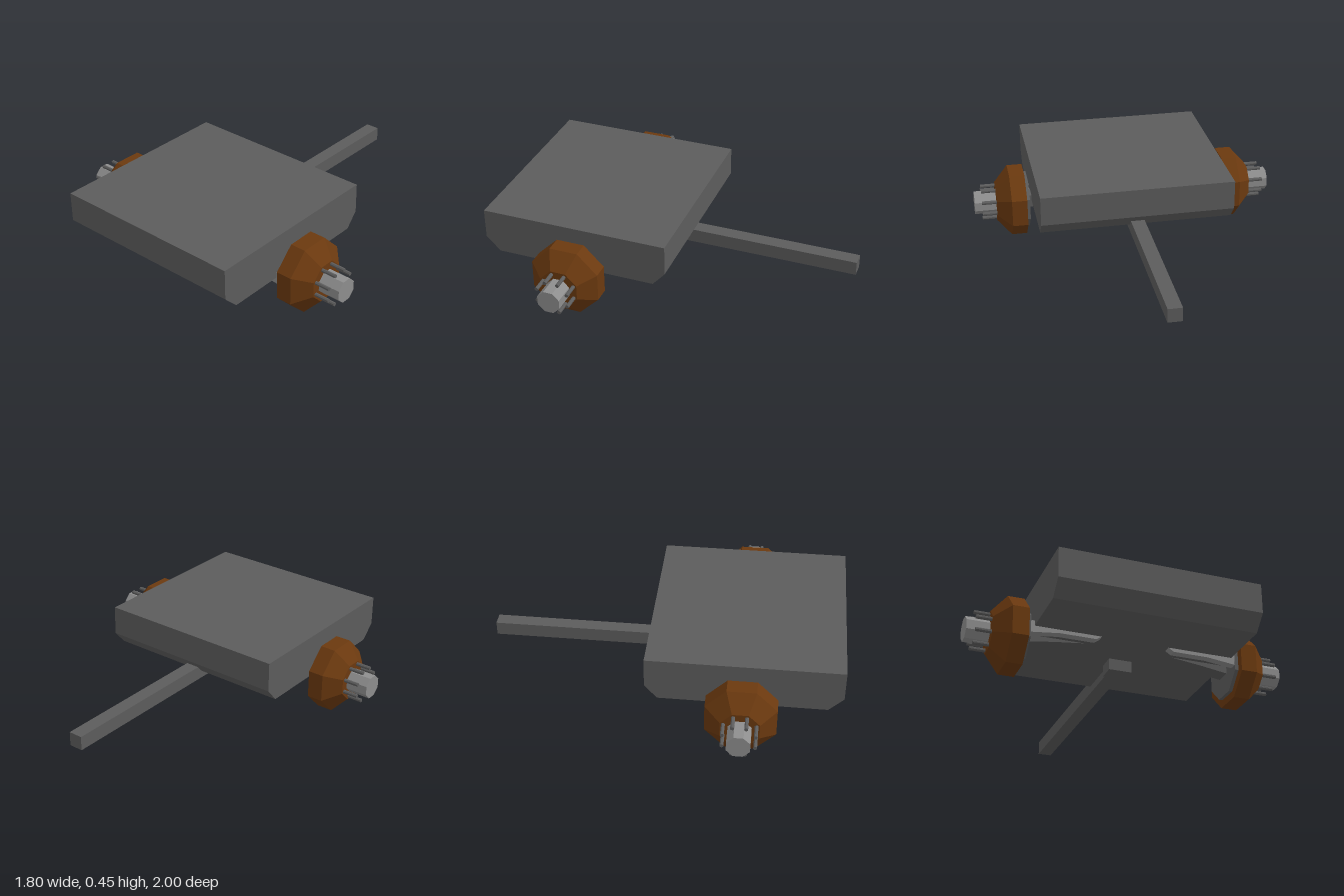
import * as THREE from 'three';

const mat = (name, color) => {
  const m = new THREE.MeshStandardMaterial({ color, flatShading: true });
  m.name = name;
  return m;
};

const AXLE_Y = 0.195, AXLE_Z = 0.46;

export function createModel() {
  const darkGrey = mat('darkGrey', 0x5c5c5c);
  const lightGrey = mat('lightGrey', 0x8e8e8e);
  const brown = mat('brown', 0x6b390f);
  const model = new THREE.Group();
  model.name = 'trailerChassis';

  const add = (parent, name, geometry, material) => {
    const mesh = new THREE.Mesh(geometry, material);
    mesh.name = name;
    parent.add(mesh);
    return mesh;
  };

  const box = (name, x0, x1, y0, y1, z0, z1) =>
    add(model, name, new THREE.BoxGeometry(x1 - x0, y1 - y0, z1 - z0)
      .translate((x0 + x1) / 2, (y0 + y1) / 2, (z0 + z1) / 2), darkGrey);

  const extrude = (points, depth) => new THREE.ExtrudeGeometry(
    new THREE.Shape(points.map(([x, y]) => new THREE.Vector2(x, y))),
    { depth, bevelEnabled: false });

  // Octagonal prism along x on side s; a0 and a1 are flat-to-centre distances
  const octagon = (s, x0, x1, a0, a1 = a0) => {
    const k = 1 / Math.cos(Math.PI / 8);
    return new THREE.CylinderGeometry(a1 * k, a0 * k, x1 - x0, 8)
      .rotateY(Math.PI / 8)
      .rotateZ(-s * Math.PI / 2)
      .translate(s * (x0 + x1) / 2, 0, 0);
  };

  // Body: side profile with chamfered lower edges, extruded across x
  const body = extrude([[-0.92, 0.2], [0, 0.2], [0.07, 0.28], [0.07, 0.45], [-1, 0.45], [-1, 0.28]], 1.12);
  add(model, 'body', body.translate(0, 0, -0.56).rotateY(Math.PI / 2), darkGrey);

  // Towing bar and its mounting block
  box('towBar', -0.04, 0.04, 0.157, 0.237, -1, 0.34);
  box('towBarBlock', -0.065, 0.065, 0.135, 0.205, 0.28, 0.38);

  for (const s of [1, -1]) {
    const side = s > 0 ? 'left' : 'right';

    // Suspension arms under the body
    const arm = (name, points, z0, z1, material) => {
      const pts = points.map(([x, y]) => [s * x, y]);
      add(model, side + name, extrude(pts, z1 - z0).translate(0, 0, z0), material);
    };
    arm('StubAxle', [[0.25, 0.2], [0.42, 0.18], [0.59, 0.155], [0.59, 0.235], [0.25, 0.235]], 0.415, 0.505, darkGrey);
    arm('SupportArm', [[0.19, 0.2], [0.22, 0.18], [0.42, 0.18], [0.59, 0.16], [0.59, 0.23], [0.19, 0.23]], 0.565, 0.61, lightGrey);

    // Wheel hub assembly
    const wheel = new THREE.Group();
    wheel.name = side + 'WheelHub';
    wheel.position.set(0, AXLE_Y, AXLE_Z);
    model.add(wheel);
    add(wheel, 'backingPlate', octagon(s, 0.58, 0.605, 0.152), darkGrey);
    add(wheel, 'drum', octagon(s, 0.6, 0.69, 0.193), brown);
    add(wheel, 'drumTaper', octagon(s, 0.69, 0.772, 0.193, 0.106), brown);
    add(wheel, 'hub', octagon(s, 0.765, 0.9, 0.063), lightGrey);

    // Ring of wheel studs
    for (let i = 0; i < 8; i++) {
      const a = (i + 0.5) * Math.PI / 4;
      const stud = add(wheel, 'stud', octagon(s, 0.765, 0.858, 0.01), darkGrey);
      stud.position.set(0, 0.095 * Math.cos(a), 0.095 * Math.sin(a));
    }
  }
  return model;
}
